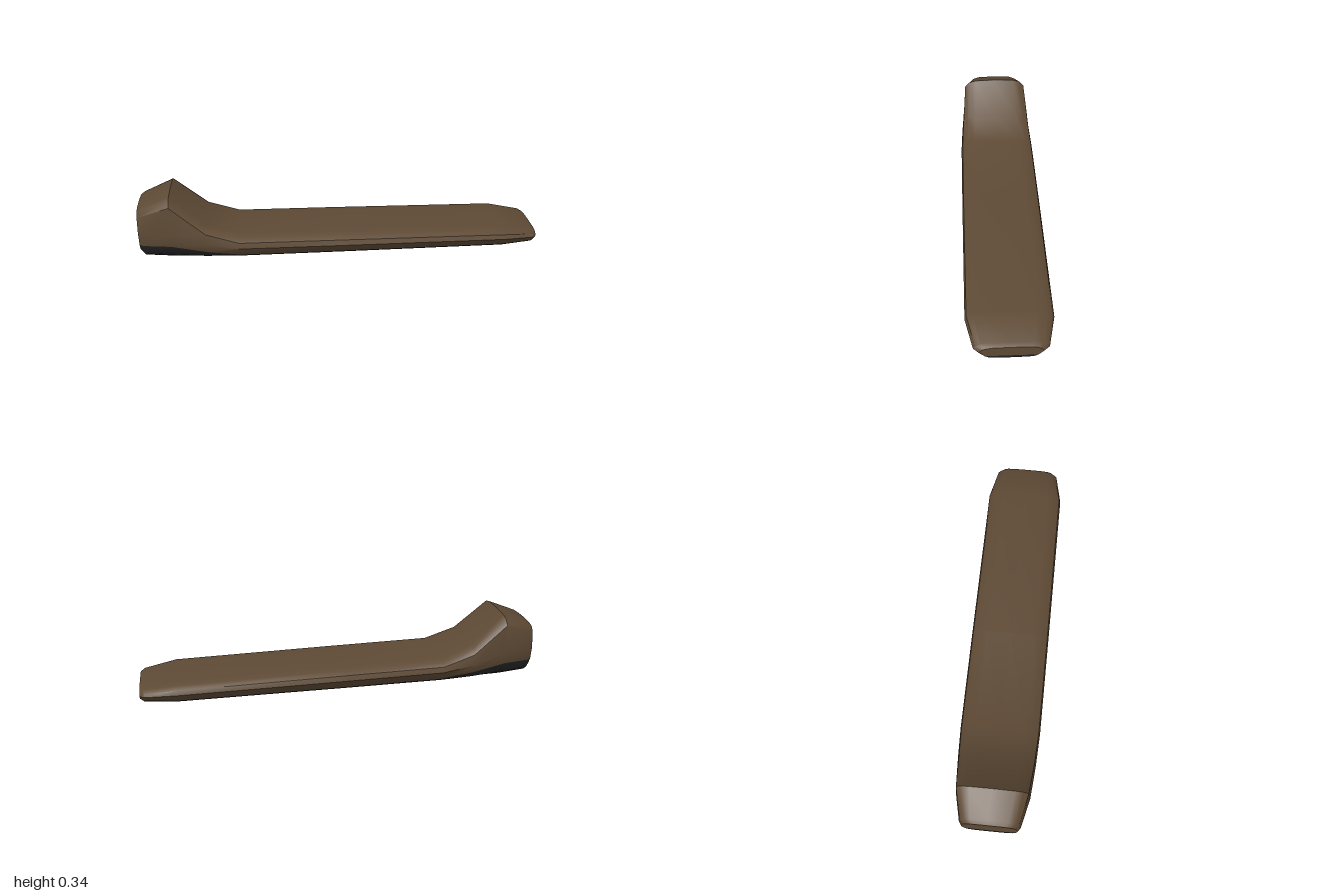
import * as THREE from 'three';
import { toCreasedNormals } from 'three/addons/utils/BufferGeometryUtils.js';

// Cross-section stations along the length:
// x, bottom y, seam half-width, seam y, widest half-width, widest y, top half-width, shoulder drop, top y
const STATIONS = [
  [-1.0, 0.035, 0.125, 0.085, 0.135, 0.15, 0.125, 0.035, 0.268],
  [-0.98, 0.005, 0.142, 0.085, 0.148, 0.15, 0.14, 0.04, 0.282],
  [-0.84, 0.002, 0.174, 0.09, 0.18, 0.15, 0.17, 0.04, 0.335],
  [-0.67, 0.002, 0.178, 0.055, 0.193, 0.1, 0.185, 0.034, 0.187],
  [-0.51, 0.001, 0.168, 0.028, 0.2, 0.075, 0.193, 0.026, 0.129],
  [0.0, 0.0, 0.166, 0.024, 0.2, 0.071, 0.193, 0.024, 0.122],
  [0.82, 0.0, 0.166, 0.024, 0.198, 0.065, 0.19, 0.022, 0.109],
  [0.98, 0.004, 0.136, 0.022, 0.164, 0.053, 0.155, 0.018, 0.085],
  [1.0, 0.014, 0.115, 0.026, 0.14, 0.05, 0.13, 0.014, 0.075],
];
const SEAM = 3; // profile points below this index belong to the dark underside

// Half profile from bottom centre to top centre, as [z, y]
function halfProfile([, yb, ws, ys, wm, ym, wt, drop, yt]) {
  return [
    [0, yb],
    [0.66 * ws, yb + 0.1 * (ys - yb)],
    [0.88 * ws, yb + 0.4 * (ys - yb)],
    [ws, ys],
    [wm, ym],
    [wt, yt - drop],
    [0.86 * wt, yt - 0.37 * drop],
    [0.64 * wt, yt - 0.1 * drop],
    [0, yt],
  ];
}

export function createModel() {
  const brown = new THREE.MeshStandardMaterial({ color: 0x5e4a35 });
  brown.name = 'brown body';
  const black = new THREE.MeshStandardMaterial({ color: 0x222222 });
  black.name = 'black underside';

  const upper = [], under = [];
  const quad = (i, a, b, c, d) => {
    (i < SEAM ? under : upper).push(...a, ...b, ...c, ...a, ...c, ...d);
  };
  const rings = STATIONS.map((s) => {
    const half = halfProfile(s);
    return [1, -1].map((side) => half.map(([z, y]) => [s[0], y, side * z]));
  });
  const last = STATIONS.length - 1;
  for (let i = 0; i < 8; i++) {
    // Skin on both sides
    for (let s = 0; s < last; s++) {
      const [aL, aR] = rings[s], [bL, bR] = rings[s + 1];
      quad(i, aL[i], bL[i], bL[i + 1], aL[i + 1]);
      quad(i, aR[i + 1], bR[i + 1], bR[i], aR[i]);
    }
    // End caps
    const [p, m] = rings[last];
    quad(i, p[i], m[i], m[i + 1], p[i + 1]);
    const [q, n] = rings[0];
    quad(i, n[i], q[i], q[i + 1], n[i + 1]);
  }

  // Smooth across both colours, keeping the sharp ridges
  let geometry = new THREE.BufferGeometry();
  geometry.setAttribute('position', new THREE.Float32BufferAttribute([...upper, ...under], 3));
  geometry = toCreasedNormals(geometry, 0.6);
  geometry.clearGroups();
  geometry.addGroup(0, upper.length / 3, 0);
  geometry.addGroup(upper.length / 3, under.length / 3, 1);

  const body = new THREE.Mesh(geometry, [brown, black]);
  body.name = 'wedgeBody';
  const group = new THREE.Group();
  group.name = 'raisedEndBar';
  group.add(body);
  return group;
}
